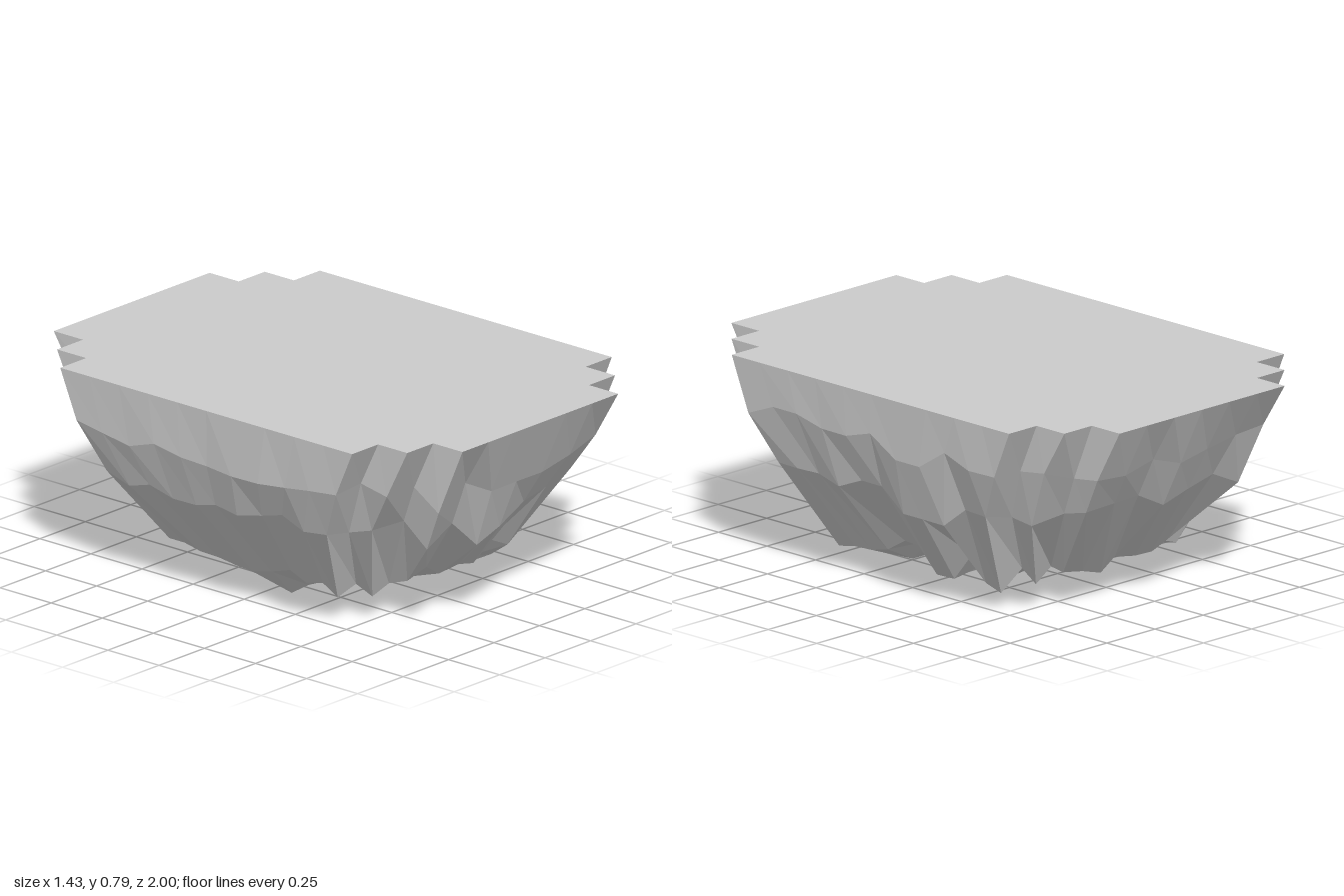
import * as THREE from 'three';

const STEP = 1 / 7;  // width of one square of the stepped rim
const SHIFT_X = 0.005;

// Seeded noise, -1..1
function makeNoise(seed) {
  let s = seed;
  return () => {
    s = (s * 16807) % 2147483647;
    return (s / 2147483647) * 2 - 1;
  };
}

// Stepped outline in grid squares: front edge -> +x side -> back edge -> -x side
function rimOutline() {
  const pts = [];
  let x = -3, z = 7;
  const walk = (dx, dz, n) => {
    for (let i = 0; i < n; i++) {
      pts.push([x, z]);
      x += dx;
      z += dz;
    }
  };
  walk(1, 0, 6);
  walk(0, -1, 1); walk(1, 0, 1); walk(0, -1, 1); walk(1, 0, 1);
  walk(0, -1, 10);
  walk(-1, 0, 1); walk(0, -1, 1); walk(-1, 0, 1); walk(0, -1, 1);
  walk(-1, 0, 6);
  walk(0, 1, 1); walk(-1, 0, 1); walk(0, 1, 1); walk(-1, 0, 1);
  walk(0, 1, 10);
  walk(1, 0, 1); walk(0, 1, 1); walk(1, 0, 1); walk(0, 1, 1);
  return pts;
}

// Is the square centred on x, z inside the stepped outline?
function insideRim(x, z) {
  const ax = Math.abs(x), az = Math.abs(z);
  return ax < 3 || (ax < 4 && az < 6) || az < 5;
}

// Geometry from four-cornered faces
function quads(faces) {
  const pos = [];
  for (const [a, b, c, d] of faces) pos.push(...a, ...b, ...c, ...a, ...c, ...d);
  const geo = new THREE.BufferGeometry();
  geo.setAttribute('position', new THREE.Float32BufferAttribute(pos, 3));
  geo.computeVertexNormals();
  return geo;
}

// Rings below the rim: scales of x and of z (front, back, long sides), heights along
// the front edge (7 columns) and the +x side (11 columns); elsewhere y with jitter
const LEVELS = [
  { sx: 1, sz: [0.885, 0.89, 0.885], y: 0.585, jitter: 0.03, shift: 0.004,
    front: [0.52, 0.6, 0.53, 0.53, 0.53, 0.56, 0.6],
    side: [0.58, 0.63, 0.63, 0.6, 0.6, 0.635, 0.56, 0.56, 0.64, 0.6, 0.6] },
  { sx: 0.92, sz: [0.8, 0.8, 0.75], y: 0.41, jitter: 0.04, shift: 0.006,
    front: [0.35, 0.42, 0.3, 0.34, 0.4, 0.42, 0.46],
    side: [0.4, 0.4, 0.4, 0.375, 0.42, 0.42, 0.34, 0.34, 0.34, 0.42, 0.42] },
  { sx: 0.635, sz: [0.595, 0.56, 0.59], y: 0.115, jitter: 0.025, shift: 0.008,
    front: [0.15, 0.18, 0.13, 0.14, 0.12, 0.19, 0.15],
    side: [0.06, 0.08, 0.08, 0.1, 0.15, 0.15, 0.06, 0.06, 0.17, 0.08, 0.06] },
];

// Hanging lumps on the underside: x and z in squares, height
const LUMPS = [
  [-4, 1, 0], [-4, 2, 0.05], [-3, 3, 0.075], [-2, 3, 0.075], [-3, 4, 0.075], [-2, 4, 0.075],
  [0, -1, 0.05], [1, -1, 0.05], [0, -2, 0.05], [1, -2, 0.05],
  [3, 2, 0.04], [4, 2, 0.04], [3, 5, 0.04], [3, 4, 0.08], [3, 3, 0.08],
  [4, -4, 0.075], [-1, 2, 0.065], [-3, -4, 0.085], [-2, -4, 0.085],
];

export function createModel() {
  const group = new THREE.Group();
  const mat = new THREE.MeshStandardMaterial({ color: 0xcccccc, flatShading: true, side: THREE.DoubleSide });
  const add = (geo, name) => {
    const mesh = new THREE.Mesh(geo, mat);
    mesh.name = name;
    group.add(mesh);
    return mesh;
  };
  const outline = rimOutline();
  const noise = makeNoise(4711);

  // Rock wall: stepped rim tapering down through uneven rings
  const rings = [outline.map(([x, z]) => [x * STEP + SHIFT_X, 0.785, z * STEP])];
  for (const l of LEVELS) {
    const [front, back, side] = l.sz;
    rings.push(outline.map(([x, z], i) => {
      const sz = Math.abs(x) > 3 ? side : z < 0 ? back : front;
      return [
        x * STEP * l.sx + SHIFT_X + noise() * l.shift,
        l.front[i] ?? l.side[i - 10] ?? l.y + noise() * l.jitter,
        z * STEP * sz + noise() * l.shift,
      ];
    }));
  }
  const wall = [];
  for (let r = 0; r + 1 < rings.length; r++) {
    outline.forEach((_, i) => {
      const j = (i + 1) % outline.length;
      wall.push([rings[r][i], rings[r + 1][i], rings[r + 1][j], rings[r][j]]);
    });
  }
  add(quads(wall), 'rockWall');

  // Flat top, facing up
  const shape = new THREE.Shape(outline.map(([x, z]) => new THREE.Vector2(x * STEP + SHIFT_X, -z * STEP)));
  const cap = add(new THREE.ShapeGeometry(shape), 'flatTop');
  cap.rotation.x = -Math.PI / 2;
  cap.position.y = 0.785;

  // Rough underside: a grid joined to the lowest ring, with lumps pulled down
  const points = new Map();
  for (let x = -5; x <= 5; x++) {
    for (let z = -7; z <= 7; z++) {
      points.set(`${x},${z}`, [x * 0.083, 0.115 + noise() * 0.015, z * 0.083]);
    }
  }
  for (const [x, z, y] of LUMPS) points.get(`${x},${z}`)[1] = y;
  outline.forEach(([x, z], i) => points.set(`${x},${z}`, rings[3][i]));
  const floor = [];
  for (let x = -5; x < 5; x++) {
    for (let z = -7; z < 7; z++) {
      if (!insideRim(x + 0.5, z + 0.5)) continue;
      const corners = [[x, z], [x + 1, z], [x + 1, z + 1], [x, z + 1]];
      floor.push(corners.map(([cx, cz]) => points.get(`${cx},${cz}`)));
    }
  }
  add(quads(floor), 'underside');

  return group;
}
